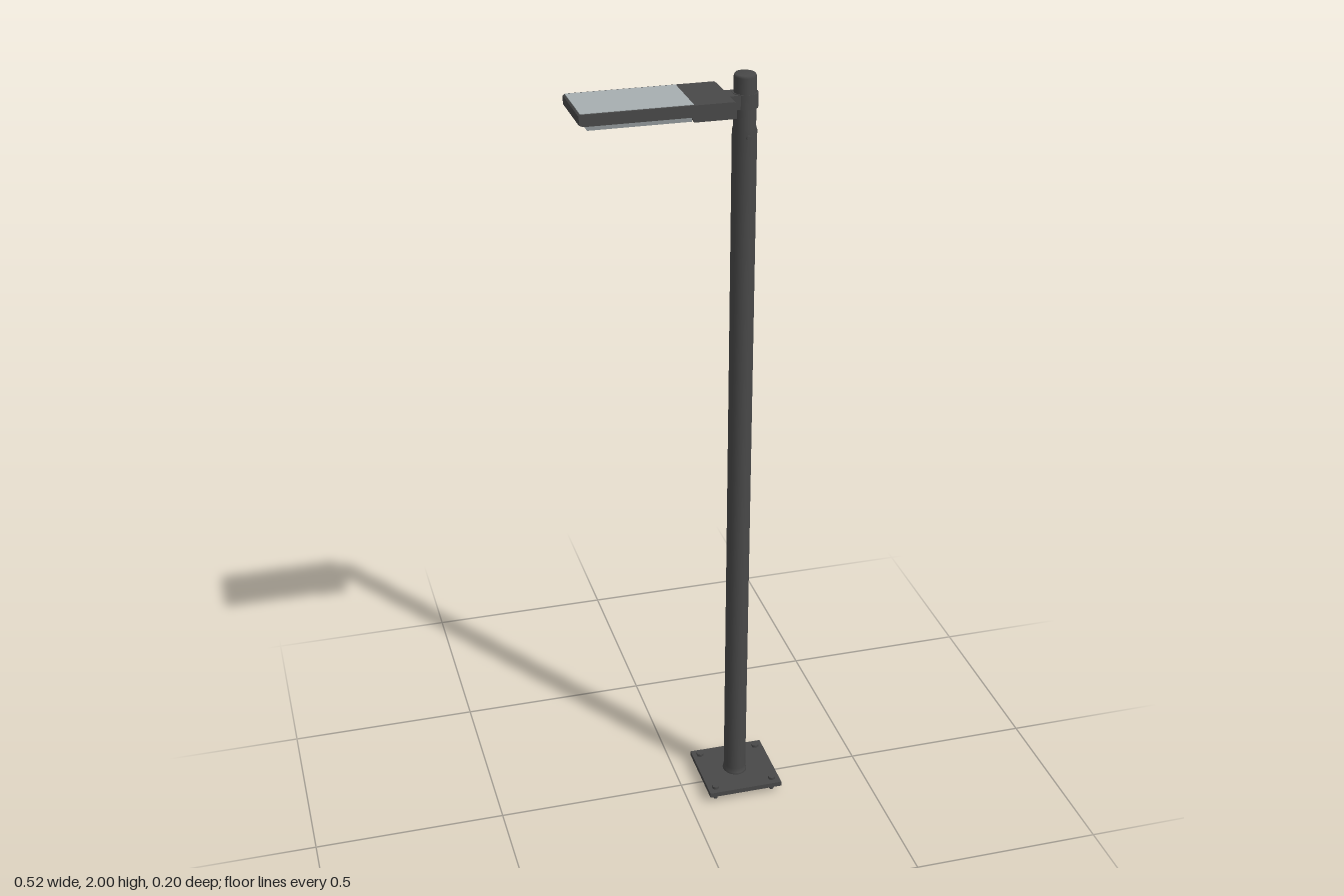
import * as THREE from 'three';

export function createModel() {
  const model = new THREE.Group();
  const dark = new THREE.MeshStandardMaterial({ color: 0x484848 });
  dark.name = 'dark metal';
  const pale = new THREE.MeshStandardMaterial({ color: 0xa6aeb0 });
  pale.name = 'pale glass';

  const add = (name, geometry, material, x, y, z, parent = model) => {
    const mesh = new THREE.Mesh(geometry, material);
    mesh.name = name;
    mesh.position.set(x, y, z);
    parent.add(mesh);
    return mesh;
  };
  const box = (name, w, h, d, material, x, y, z, parent) =>
    add(name, new THREE.BoxGeometry(w, h, d), material, x, y, z, parent);
  const PX = 0.153;

  // Pole: wide lower tube, sloped collar, slimmer spigot with a softened top
  const profile = [[0, 0.025], [0.038, 0.025], [0.032, 0.037], [0.031, 0.05], [0.031, 1.865],
    [0.028, 1.875], [0.028, 1.994], [0.025, 2], [0, 2]];
  const pole = profile.map(([r, y]) => new THREE.Vector2(r, y));
  const poleMesh = add('pole', new THREE.LatheGeometry(pole, 24), dark, PX, 0, 0);
  poleMesh.scale.set(0.95, 1, 1.08);

  // Square foot plate with anchor bolts
  box('basePlate', 0.202, 0.013, 0.2, dark, 0.156, 0.0265, 0);
  for (const sx of [-1, 1]) for (const sz of [-1, 1]) {
    const x = 0.156 + sx * 0.08, z = sz * 0.077;
    add('anchorBolt', new THREE.CylinderGeometry(0.006, 0.006, 0.036, 10), dark, x, 0.018, z);
    add('boltNut', new THREE.CylinderGeometry(0.01, 0.01, 0.007, 6), dark, x, 0.0365, z);
    add('levellingNut', new THREE.CylinderGeometry(0.01, 0.01, 0.008, 6), dark, x, 0.014, z);
  }

  // Bracket and clamp joining the lamp to the pole
  box('bracket', 0.05, 0.034, 0.05, dark, 0.118, 1.938, 0);
  add('clamp', new THREE.CylinderGeometry(0.031, 0.031, 0.036, 24), dark, PX, 1.938, 0);
  for (const sz of [-1, 1]) {
    const screw = add('collarScrew', new THREE.CylinderGeometry(0.006, 0.006, 0.008, 8), dark, PX, 1.855, sz * 0.035);
    screw.rotation.x = Math.PI / 2;
  }

  // Lamp head: side outline with a chamfered tip, extruded across
  const lamp = new THREE.Group();
  lamp.name = 'lampHead';
  model.add(lamp);
  const outline = new THREE.Shape([
    [0.108, 1.92], [0.108, 1.956], [0.102, 1.96], [-0.255, 1.96], [-0.26, 1.956],
    [-0.26, 1.936], [-0.25, 1.932], [0.002, 1.932], [0.008, 1.92],
  ].map(([x, y]) => new THREE.Vector2(x, y)));
  const housing = new THREE.ExtrudeGeometry(outline, { depth: 0.166, bevelEnabled: false });
  add('housing', housing, dark, 0, 0, -0.083, lamp);

  // Top panel
  box('topPanel', 0.264, 0.004, 0.156, pale, -0.124, 1.9592, 0, lamp);

  // Lens below the housing, tapering downward
  const lens = new THREE.BoxGeometry(0.252, 0.013, 0.158);
  const p = lens.attributes.position;
  for (let i = 0; i < p.count; i++) {
    if (p.getY(i) < 0) {
      p.setZ(i, p.getZ(i) * 0.95);
      if (p.getX(i) < 0) p.setX(i, p.getX(i) + 0.008);
    }
  }
  lens.computeVertexNormals();
  add('lens', lens, pale, -0.122, 1.9265, 0, lamp);

  return model;
}
